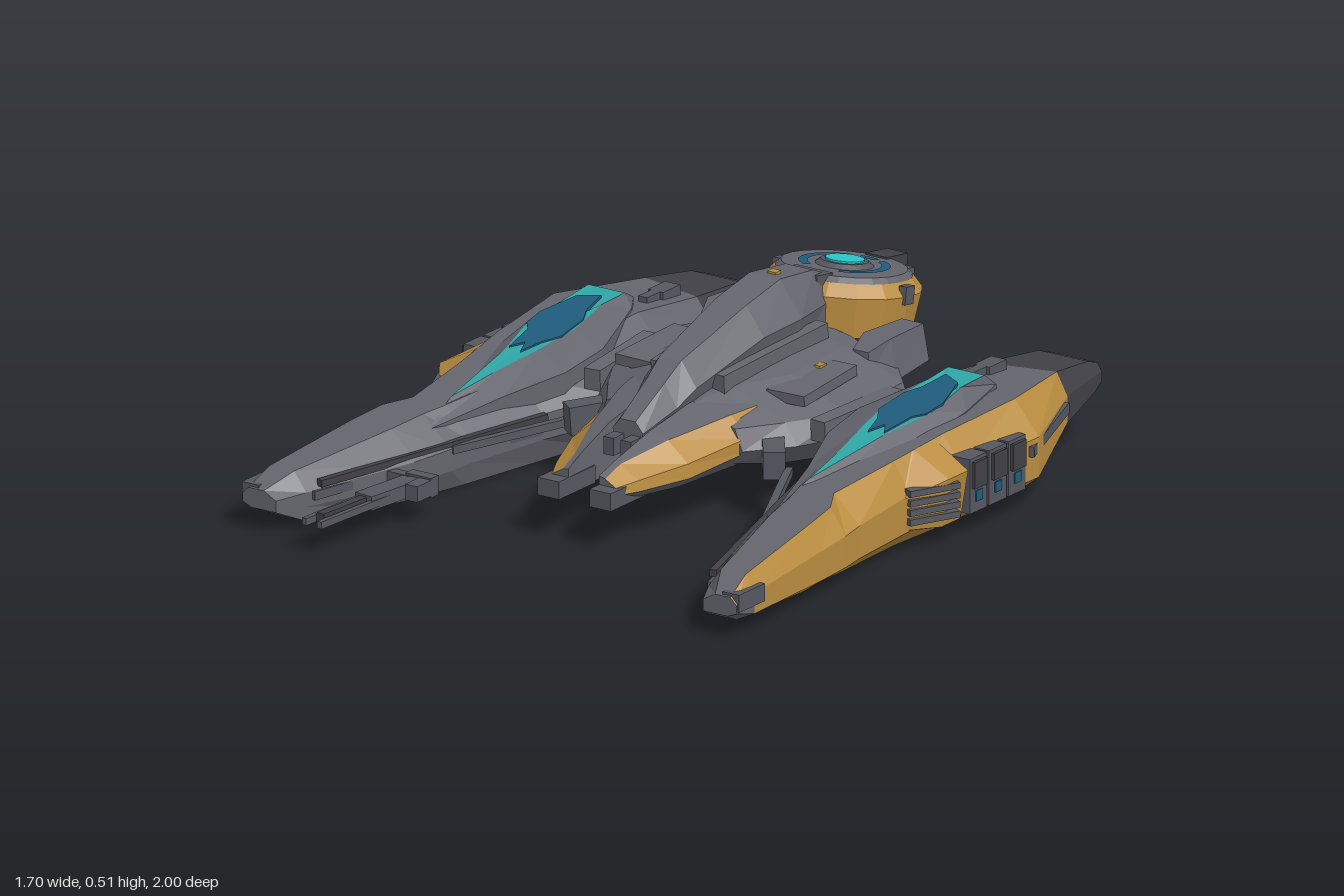
import * as THREE from 'three';

const mat = (name, color) => {
  const m = new THREE.MeshStandardMaterial({ color, flatShading: true });
  m.name = name;
  return m;
};

export function createModel() {
  const model = new THREE.Group();
  model.name = 'gunship';
  const hull = mat('hull grey', 0x64656d), gold = mat('gold', 0xb98c40), dark = mat('dark grey', 0x414046);
  const trim = mat('trim grey', 0x565860), teal = mat('teal', 0x2fa5a6), blue = mat('deep blue', 0x1f5c7c);
  const cyan = mat('cyan', 0x2cc6cb);
  const palette = [hull, gold, dark, trim, teal, blue, cyan];

  // reverse the corner order of every triangle
  const flip = (a) => {
    for (let i = 0; i < a.length; i += 9)
      for (let k = 0; k < 3; k++) [a[i + 3 + k], a[i + 6 + k]] = [a[i + 6 + k], a[i + 3 + k]];
  };

  // skin a series of rings of [x, y, z]; pick(segment, side) gives the material, 'start'/'end' are caps
  function loft(name, rings, pick) {
    const buckets = new Map();
    const tri = (m, ...pts) => {
      if (!buckets.has(m)) buckets.set(m, []);
      buckets.get(m).push(...pts.flat());
    };
    const n = rings[0].length;
    for (let s = 0; s < rings.length - 1; s++) for (let i = 0; i < n; i++) {
      const j = (i + 1) % n, [a, b, c, d] = [rings[s][i], rings[s][j], rings[s + 1][j], rings[s + 1][i]];
      tri(pick(s, i), a, b, c);
      tri(pick(s, i), a, c, d);
    }
    for (const [r, label] of [[rings[0], 'start'], [rings[rings.length - 1], 'end']]) {
      const mid = [0, 1, 2].map((k) => r.reduce((t, p) => t + p[k], 0) / n);
      for (let i = 0; i < n; i++) {
        const p = r[i], q = r[(i + 1) % n];
        label === 'start' ? tri(pick(label), mid, q, p) : tri(pick(label), mid, p, q);
      }
    }
    const pos = [], geo = new THREE.BufferGeometry();
    for (const [m, list] of buckets) {
      geo.addGroup(pos.length / 3, list.length / 3, palette.indexOf(m));
      pos.push(...list);
    }
    // a negative volume means the skin is inside out
    let vol = 0;
    const v = (i) => new THREE.Vector3().fromArray(pos, i);
    for (let i = 0; i < pos.length; i += 9) vol += v(i).dot(v(i + 3).cross(v(i + 6)));
    if (vol < 0) flip(pos);
    geo.setAttribute('position', new THREE.Float32BufferAttribute(pos, 3));
    geo.computeVertexNormals();
    const mesh = new THREE.Mesh(geo, palette);
    mesh.name = name;
    return mesh;
  }

  function box(name, m, x0, x1, y0, y1, z0, z1) {
    const mesh = new THREE.Mesh(new THREE.BoxGeometry(x1 - x0, y1 - y0, z1 - z0), m);
    mesh.position.set((x0 + x1) / 2, (y0 + y1) / 2, (z0 + z1) / 2);
    mesh.name = name;
    return mesh;
  }

  function beam(name, m, a, b, w, h) {
    const p = new THREE.Vector3(...a), q = new THREE.Vector3(...b);
    const mesh = new THREE.Mesh(new THREE.BoxGeometry(w, h, p.distanceTo(q)), m);
    mesh.position.copy(p).lerp(q, 0.5);
    mesh.lookAt(q);
    mesh.name = name;
    return mesh;
  }

  // add a left part and its mirrored right twin
  function pair(mesh) {
    mesh.updateMatrix();
    const src = mesh.geometry.index ? mesh.geometry.toNonIndexed() : mesh.geometry.clone();
    const geo = src.applyMatrix4(mesh.matrix).scale(-1, 1, 1);
    flip(geo.attributes.position.array);
    geo.computeVertexNormals();
    if (!Array.isArray(mesh.material)) geo.clearGroups();
    const twin = new THREE.Mesh(geo, mesh.material);
    twin.name = mesh.name + 'Right';
    mesh.name += 'Left';
    model.add(mesh, twin);
  }
  const atZ = (z, pts) => pts.map(([x, y]) => [x, y, z]);

  // side nacelles: z, bottom, top, then x of inner bottom, outer bottom, outer, top outer, top inner, inner, inner z shift
  const nacelle = [
    [0.925, 0.06, 0.115, 0.70, 0.78, 0.81, 0.79, 0.74, 0.70, 0],
    [0.84, 0.02, 0.155, 0.66, 0.75, 0.81, 0.78, 0.70, 0.66, 0],
    [0.5, 0, 0.195, 0.57, 0.73, 0.79, 0.75, 0.62, 0.54, 0],
    [0.38, 0, 0.207, 0.54, 0.72, 0.785, 0.735, 0.60, 0.51, 0],
    [0.3, 0, 0.215, 0.52, 0.72, 0.775, 0.69, 0.58, 0.50, 0],
    [0.05, 0, 0.24, 0.47, 0.71, 0.765, 0.71, 0.53, 0.44, 0],
    [-0.15, 0.005, 0.265, 0.42, 0.73, 0.80, 0.73, 0.50, 0.36, 0],
    [-0.45, 0.02, 0.285, 0.40, 0.76, 0.835, 0.755, 0.48, 0.38, 0],
    [-0.76, 0.08, 0.258, 0.44, 0.66, 0.71, 0.675, 0.47, 0.42, 0.05],
    [-0.94, 0.12, 0.232, 0.49, 0.63, 0.67, 0.65, 0.49, 0.47, 0],
    [-1, 0.145, 0.21, 0.51, 0.63, 0.655, 0.64, 0.50, 0.49, 0],
  ].map(([z, b, t, ib, ob, o, to, ti, im, dz]) => {
    const y = (f) => b + (t - b) * f, zi = z + dz;
    return [[ib, b, zi], [ob, b, z], [o, y(0.22), z], [o, y(0.65), z], [to, t, z], [ti, t, zi], [im, y(0.6), zi], [im, y(0.3), zi]];
  });
  pair(loft('nacelle', nacelle, (s, i) => {
    if (s === 'start') return hull;
    if (s === 'end' || s >= 8) return dark;
    if (s === 0) return i === 3 ? gold : hull;
    return i >= 1 && i <= 3 ? gold : hull;
  }));

  // raised canopy on each nacelle
  const slope = (z) => 0.328 - 0.15 * Math.max(0, z + 0.4);
  const rim = [[0.55, -0.53], [0.66, -0.5], [0.70, -0.3], [0.69, -0.05], [0.63, 0.2], [0.57, 0.4], [0.50, 0.15], [0.43, -0.04], [0.42, -0.2], [0.50, -0.45]];
  const glass = [[0.53, -0.46], [0.65, -0.46], [0.645, -0.36], [0.66, -0.2], [0.62, -0.03], [0.587, 0.27], [0.565, 0.1], [0.535, -0.06], [0.515, -0.2], [0.535, -0.36]];
  const patch = [[0.565, -0.4], [0.625, -0.37], [0.66, -0.25], [0.655, -0.18], [0.63, -0.15], [0.615, -0.04], [0.59, -0.08], [0.57, -0.03], [0.55, -0.1], [0.52, -0.15], [0.525, -0.26], [0.55, -0.31]];
  const lift = (pts, dy) => pts.map(([x, z]) => [x, slope(z) + dy, z]);
  pair(loft('canopy', [lift(rim, -0.12), lift(rim, -0.035), lift(glass, 0)], (s) => (s === 'end' ? teal : hull)));
  pair(loft('canopyPatch', [lift(patch, -0.005), lift(patch, 0.004)], () => blue));

  // nacelle outer fittings
  for (let k = 0; k < 3; k++) {
    const z = -0.175 - k * 0.09;
    pair(box('sideModule', trim, 0.74, 0.83, 0.06, 0.215, z - 0.04, z + 0.04));
    pair(box('sideModuleCover', dark, 0.8, 0.84, 0.13, 0.205, z - 0.03, z + 0.03));
    pair(box('sideModuleLight', blue, 0.825, 0.834, 0.09, 0.12, z - 0.015, z + 0.015));
  }
  pair(loft('sideBulge', [
    atZ(0.08, [[0.7, 0.04], [0.76, 0.06], [0.765, 0.15], [0.7, 0.21]]),
    atZ(-0.03, [[0.7, 0.03], [0.81, 0.05], [0.835, 0.19], [0.72, 0.25]]),
    atZ(-0.12, [[0.7, 0.03], [0.81, 0.05], [0.835, 0.19], [0.72, 0.26]]),
  ], () => gold));
  for (let k = 0; k < 4; k++) pair(beam('sideRib', trim, [0.77, 0.085 + k * 0.027, 0.07], [0.835, 0.085 + k * 0.027, -0.07], 0.03, 0.018));
  pair(beam('sideRail', trim, [0.83, 0.16, -0.41], [0.72, 0.175, -0.73], 0.03, 0.03));
  pair(box('sternFitting', trim, 0.51, 0.56, 0.24, 0.29, -0.69, -0.61));
  pair(box('sternFittingStem', trim, 0.52, 0.55, 0.24, 0.29, -0.61, -0.55));
  pair(box('noseClamp', trim, 0.76, 0.815, 0.075, 0.125, 0.8, 0.92));

  // nacelle inner pipes and struts
  pair(beam('innerPipe', trim, [0.45, 0.1, 0.05], [0.655, 0.09, 0.82], 0.025, 0.025));
  pair(beam('innerPipe', dark, [0.43, 0.14, 0.05], [0.645, 0.12, 0.8], 0.02, 0.02));
  pair(beam('strut', trim, [0.36, 0.14, 0.04], [0.515, 0.12, 0.37], 0.022, 0.022));
  pair(beam('strutMount', trim, [0.25, 0.17, -0.04], [0.34, 0.16, 0.08], 0.06, 0.08));

  // central hull halves
  pair(loft('hullHalf', [
    atZ(0.08, [[0.03, 0.15], [0.2, 0.14], [0.235, 0.18], [0.21, 0.24], [0.08, 0.29], [0.03, 0.3]]),
    atZ(-0.04, [[0.03, 0.13], [0.27, 0.12], [0.33, 0.18], [0.29, 0.24], [0.12, 0.31], [0.03, 0.32]]),
    atZ(-0.2, [[0.03, 0.12], [0.33, 0.11], [0.40, 0.18], [0.38, 0.24], [0.2, 0.315], [0.03, 0.34]]),
    atZ(-0.45, [[0.03, 0.12], [0.33, 0.12], [0.42, 0.18], [0.39, 0.26], [0.2, 0.325], [0.03, 0.36]]),
    atZ(-0.54, [[0.03, 0.15], [0.26, 0.15], [0.33, 0.2], [0.31, 0.26], [0.15, 0.32], [0.03, 0.34]]),
    atZ(-0.6, [[0.03, 0.18], [0.16, 0.18], [0.19, 0.22], [0.18, 0.25], [0.12, 0.29], [0.03, 0.3]]),
  ], () => hull));
  model.add(box('keelJoint', dark, -0.035, 0.035, 0.2, 0.33, -0.58, 0.08));
  pair(beam('shoulderPanel', hull, [0.25, 0.285, -0.1], [0.24, 0.3, -0.36], 0.12, 0.03));
  pair(box('shoulderMarker', gold, 0.21, 0.23, 0.305, 0.318, -0.32, -0.29));
  pair(beam('wingRib', hull, [0.37, 0.22, -0.08], [0.40, 0.23, -0.4], 0.05, 0.06));

  // rear pods beside the turret
  pair(loft('rearPod', [
    atZ(-0.45, [[0.22, 0.25], [0.28, 0.25], [0.275, 0.32], [0.225, 0.32]]),
    atZ(-0.52, [[0.19, 0.23], [0.32, 0.23], [0.3, 0.345], [0.21, 0.345]]),
    atZ(-0.685, [[0.2, 0.24], [0.31, 0.24], [0.29, 0.34], [0.22, 0.34]]),
  ], (s) => (s === 'end' ? trim : hull)));

  // forward prongs with gold outer flanks
  pair(loft('prong', [
    atZ(-0.03, [[0.06, 0.13], [0.2, 0.13], [0.24, 0.18], [0.235, 0.22], [0.205, 0.275], [0.07, 0.305]]),
    atZ(0.06, [[0.06, 0.125], [0.19, 0.125], [0.23, 0.17], [0.23, 0.21], [0.185, 0.27], [0.07, 0.295]]),
    atZ(0.27, [[0.055, 0.12], [0.16, 0.12], [0.195, 0.15], [0.19, 0.19], [0.125, 0.245], [0.065, 0.26]]),
    atZ(0.42, [[0.05, 0.12], [0.11, 0.12], [0.14, 0.145], [0.135, 0.175], [0.075, 0.21], [0.055, 0.215]]),
    atZ(0.485, [[0.05, 0.125], [0.085, 0.125], [0.11, 0.145], [0.105, 0.165], [0.07, 0.185], [0.05, 0.19]]),
  ], (s, i) => (i === 2 || i === 3 ? gold : hull)));
  pair(box('prongTip', trim, 0.05, 0.12, 0.115, 0.165, 0.36, 0.53));

  // cockpit spine: z, top y, top half width, waist y, waist half width, base y, base half width
  const spine = [
    [0.28, 0.28, 0.025, 0.25, 0.05, 0.2, 0.03],
    [0.15, 0.355, 0.03, 0.29, 0.07, 0.2, 0.035],
    [0.08, 0.40, 0.035, 0.33, 0.085, 0.2, 0.04],
    [-0.2, 0.48, 0.05, 0.40, 0.11, 0.22, 0.06],
    [-0.36, 0.51, 0.05, 0.41, 0.12, 0.24, 0.08],
    [-0.52, 0.49, 0.045, 0.40, 0.085, 0.26, 0.08],
    [-0.6, 0.455, 0.035, 0.38, 0.06, 0.28, 0.06],
  ].map(([z, t, tw, m, mw, b, bw]) => atZ(z, [[-bw, b], [bw, b], [mw, m], [tw, t], [-tw, t], [-mw, m]]));
  model.add(loft('cockpitSpine', spine, () => hull));
  pair(box('spineFork', trim, 0.012, 0.045, 0.19, 0.24, 0.2, 0.33));
  pair(beam('spineSideRail', hull, [0.1, 0.32, 0.0], [0.125, 0.35, -0.45], 0.04, 0.06));
  model.add(box('spineMarker', gold, -0.014, 0.014, 0.5, 0.512, -0.415, -0.39));

  // round rear turret, leaning back
  const turret = new THREE.Group();
  turret.name = 'turret';
  turret.position.set(0, 0.34, -0.715);
  turret.rotation.x = -0.15;
  const drum = (name, m, r1, r0, y0, y1, n = 16) => {
    const d = new THREE.Mesh(new THREE.CylinderGeometry(r1, r0, y1 - y0, n), m);
    d.position.y = (y0 + y1) / 2;
    d.name = name;
    turret.add(d);
  };
  drum('turretBase', dark, 0.195, 0.17, -0.1, -0.06);
  drum('turretBand', gold, 0.217, 0.2, -0.06, 0.05);
  drum('turretShoulder', gold, 0.187, 0.217, 0.05, 0.085);
  drum('turretTop', hull, 0.172, 0.187, 0.085, 0.1, 24);
  drum('turretHub', trim, 0.065, 0.08, 0.1, 0.112, 24);
  drum('turretLens', cyan, 0.053, 0.053, 0.112, 0.117, 24);
  // broken blue ring on the deck
  for (const [start, sweep] of [[-1.1, 2.2], [2.05, 2.2], [1.3, 0.5]]) {
    const arc = new THREE.Mesh(new THREE.RingGeometry(0.1, 0.125, 16, 1, start, sweep), blue);
    arc.rotation.x = -Math.PI / 2;
    arc.position.y = 0.103;
    arc.name = 'turretRingArc';
    turret.add(arc);
  }
  turret.add(box('turretRearBlock', trim, -0.07, 0.07, -0.07, 0.075, -0.235, -0.17));
  turret.add(box('turretRearVent', dark, -0.035, 0.035, -0.06, 0.105, -0.25, -0.15));
  turret.add(box('turretFrontBlock', trim, -0.06, 0.06, -0.05, 0.105, 0.14, 0.215));
  for (const s of [-1, 1]) {
    const lug = box('turretLug', trim, -0.012, 0.012, 0.03, 0.08, -0.02, 0.02);
    lug.position.x = s * 0.208;
    turret.add(lug);
  }
  model.add(turret);

  // twin gun on the right nacelle only
  model.add(box('gunMount', trim, -0.6, -0.5, 0.07, 0.11, 0.56, 0.59));
  model.add(box('gunBreech', trim, -0.515, -0.43, 0.06, 0.115, 0.55, 0.585));
  model.add(box('gunFeed', trim, -0.47, -0.43, 0.065, 0.11, 0.58, 0.65));
  model.add(beam('gunBody', trim, [-0.49, 0.088, 0.58], [-0.515, 0.088, 0.78], 0.06, 0.04));
  model.add(beam('gunBarrelOuter', trim, [-0.53, 0.085, 0.6], [-0.555, 0.085, 1], 0.015, 0.02));
  model.add(beam('gunBarrelInner', trim, [-0.475, 0.085, 0.6], [-0.505, 0.085, 1], 0.015, 0.02));
  model.add(beam('gunBarrelMiddle', dark, [-0.5, 0.09, 0.58], [-0.53, 0.09, 0.96], 0.025, 0.025));
  return model;
}
